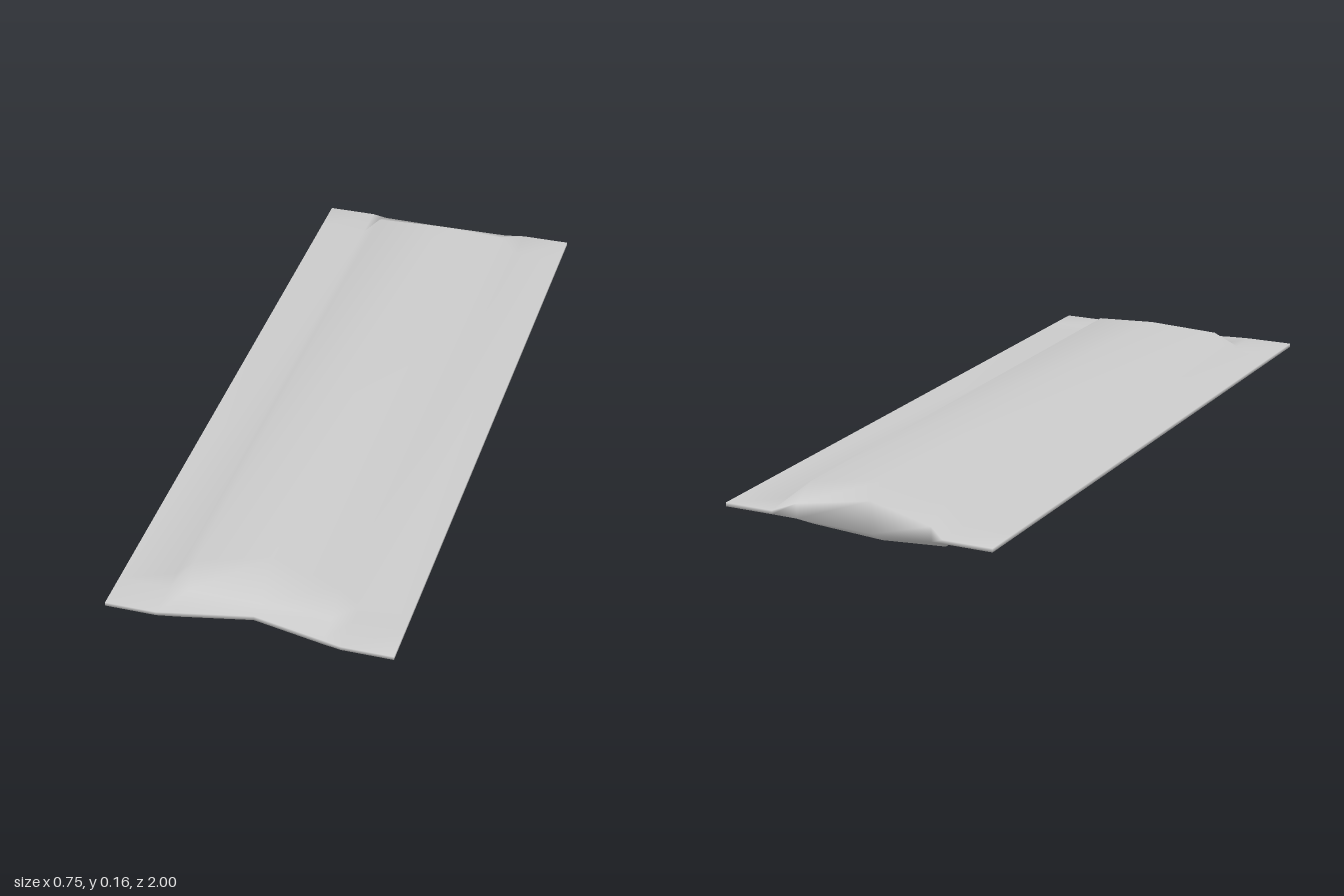
import * as THREE from 'three';

const MID = 0.0775; // height of the flat seam plane

// Half of each cross-section: columns at the centre ridge, shoulder, body edge and fin edge
const X = [0, 0.19, 0.24, 0.375];
// Stations from front to back: z and half thickness for every column
const STATIONS = [
  { z: [0.95, 0.99, 1, 1], h: [0.006, 0.006, 0.005, 0.005] },            // notched front lip
  { z: [0.9, 0.9, 0.9, 0.9], h: [0.007, 0.006, 0.005, 0.005] },          // foot of the front slope
  { z: [0.8, 0.84, 0.84, 0.84], h: [0.0775, 0.057, 0.005, 0.005] },      // front shoulder
  { z: [-0.87, -0.89, -0.89, -0.89], h: [0.0775, 0.057, 0.005, 0.005] }, // back shoulder
  { z: [-0.925, -0.965, -1, -1], h: [0.043, 0.02, 0.005, 0.005] },       // notched back end
];
const COLUMNS = [-3, -2, -1, 0, 1, 2, 3];

function sleeveGeometry() {
  const n = COLUMNS.length, ring = 2 * n;
  const positions = [], index = [];
  const quad = (a, b, c, d) => index.push(a, b, c, a, c, d);

  // Each ring runs over the top, then back along the underside
  for (const { z, h } of STATIONS) {
    const point = (c, side) => {
      const k = Math.abs(c);
      positions.push(Math.sign(c) * X[k], MID + side * h[k], z[k]);
    };
    COLUMNS.forEach(c => point(c, 1));
    [...COLUMNS].reverse().forEach(c => point(c, -1));
  }

  // Skin between neighbouring rings
  for (let r = 0; r < STATIONS.length - 1; r++) {
    for (let i = 0; i < ring; i++) {
      const a = r * ring + i, b = r * ring + (i + 1) % ring;
      quad(a, b, b + ring, a + ring);
    }
  }

  // End walls
  const last = (STATIONS.length - 1) * ring;
  for (let i = 0; i < n - 1; i++) {
    const low = ring - 1 - i;
    quad(low, low - 1, i + 1, i);
    quad(last + i, last + i + 1, last + low - 1, last + low);
  }

  const geometry = new THREE.BufferGeometry();
  geometry.setAttribute('position', new THREE.Float32BufferAttribute(positions, 3));
  geometry.setIndex(index);
  geometry.computeVertexNormals();
  return geometry;
}

export function createModel() {
  const group = new THREE.Group();
  group.name = 'wrappedBar';
  const sleeve = new THREE.Mesh(sleeveGeometry(), new THREE.MeshStandardMaterial({ color: 0xcccccc }));
  sleeve.name = 'sleeveWithSideFins';
  group.add(sleeve);
  return group;
}
